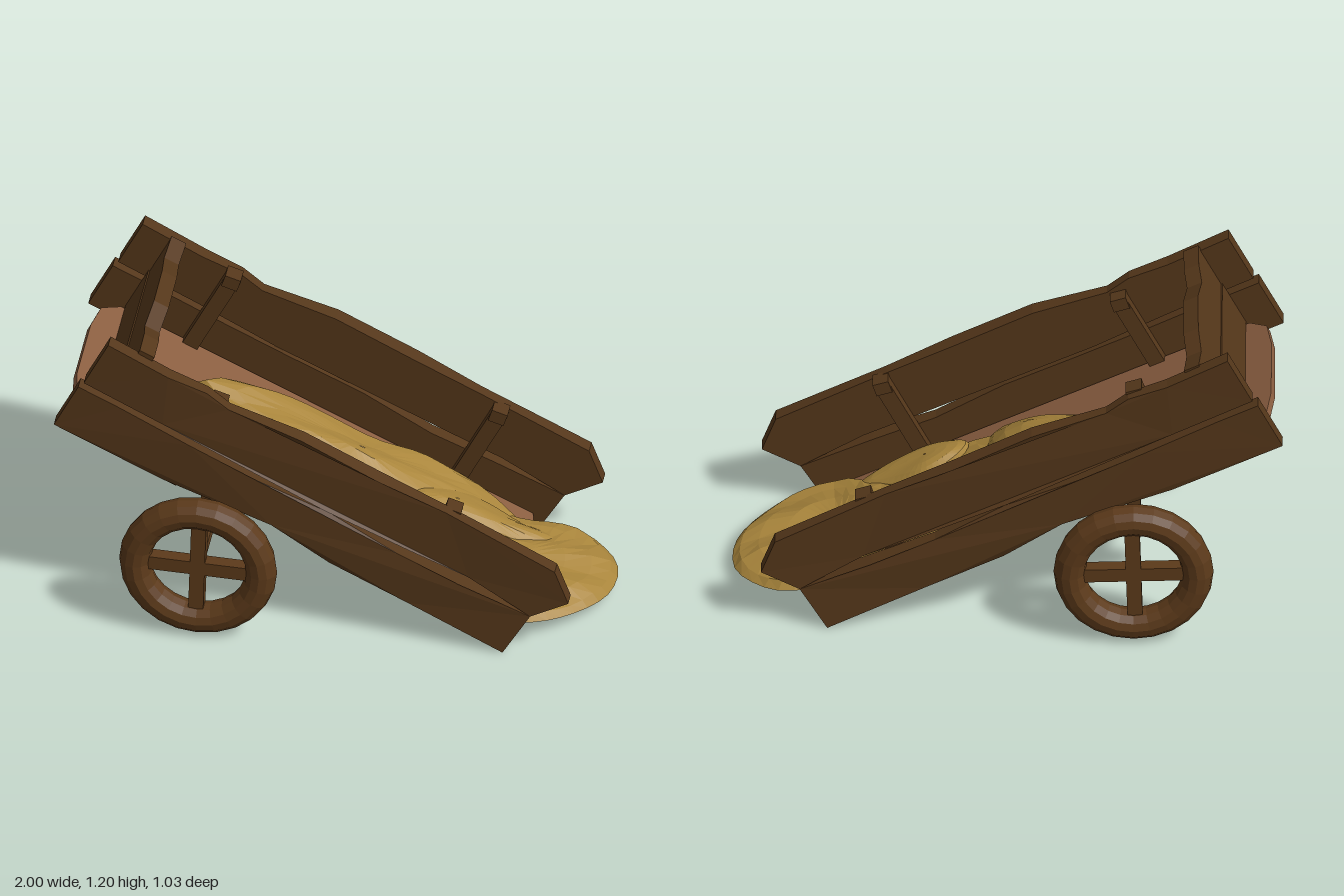
import * as THREE from 'three';

const mat = (color) => new THREE.MeshStandardMaterial({ color, flatShading: true, side: THREE.DoubleSide });
const wood = mat(0x55371a);
const wheelWood = mat(0x5c3a1a);
const boards = mat(0x8a5e40);
const cloth = mat(0xaa863c);

const TILT = -Math.atan(0.5);   // slope of the tipped bed
const BED_Y = 0.395;            // height of the floor boards at x = 0

function add(parent, name, geometry, material, x = 0, y = 0, z = 0) {
  const mesh = new THREE.Mesh(geometry, material);
  mesh.name = name;
  mesh.position.set(x, y, z);
  parent.add(mesh);
  return mesh;
}

function slab(points, depth) {
  const shape = new THREE.Shape(points.map(([x, y]) => new THREE.Vector2(x, y)));
  return new THREE.ExtrudeGeometry(shape, { depth, bevelEnabled: false });
}

// Rough side plank; its outer face is slightly warped
function sidePlank(points, phase) {
  const g = slab(points, 0.055);
  const p = g.attributes.position;
  for (let i = 0; i < p.count; i++) {
    const x = p.getX(i);
    const warp = Math.abs(x) < 0.7 ? 0.013 * Math.sin(x * 7 + phase) : 0;
    if (p.getZ(i) > 0.01) p.setZ(i, p.getZ(i) + warp);
  }
  g.computeVertexNormals();
  return g;
}

// Height the cloth rests on: the bed, then nearly flat past its low end
const rest = (x) => (x < 0.62 ? BED_Y - 0.5 * x : 0.085 - 0.12 * (x - 0.62));

// Closed cloth mass over an outline of [x, z] points, with pleats running down the slope
function clothMass(outline, centre, up, down, pleat, phase) {
  const curve = new THREE.CatmullRomCurve3(outline.map(([x, z]) => new THREE.Vector3(x, 0, z)), true, 'centripetal');
  const n = 36;
  const rim = curve.getSpacedPoints(n).slice(0, n);
  const rings = [[0.02, 1], [0.25, 1], [0.5, 1], [0.75, 1], [0.93, 1], [1, 1], [0.85, -1], [0.5, -1], [0.02, -1]];
  const pos = [], index = [];
  for (const [t, side] of rings) {
    for (const p of rim) {
      const x = centre[0] + (p.x - centre[0]) * t;
      const z = centre[1] + (p.z - centre[1]) * t;
      const dome = Math.sqrt(Math.max(0, 1 - t * t));
      const fold = pleat * Math.sin(z * 34 + x * 5 + phase) * Math.min(1, dome * 1.5);
      pos.push(x, rest(x) + 0.008 + (side > 0 ? up : -down) * dome + fold, z);
    }
  }
  for (let r = 0; r < rings.length - 1; r++) {
    for (let i = 0; i < n; i++) {
      const a = r * n + i, b = r * n + (i + 1) % n;
      index.push(a, a + n, b, b, a + n, b + n);
    }
  }
  const g = new THREE.BufferGeometry();
  g.setAttribute('position', new THREE.Float32BufferAttribute(pos, 3));
  g.setIndex(index);
  g.computeVertexNormals();
  return g;
}

function wheel() {
  const g = new THREE.Group();
  g.name = 'wheel';
  add(g, 'rim', new THREE.TorusGeometry(0.232, 0.058, 12, 24), wheelWood);
  for (const turn of [0, Math.PI / 2]) {
    add(g, 'spokes', new THREE.BoxGeometry(0.4, 0.055, 0.05), wheelWood).rotation.z = turn - 0.03;
  }
  return g;
}

export function createModel() {
  const cart = new THREE.Group();
  cart.name = 'tippedCart';

  // Side planks
  const lower = [[-1, 0.82], [-0.6, 0.62], [-0.2, 0.47], [0.01, 0.315], [0.3, 0.175], [0.65, 0.003], [0.75, 0.17],
    [0.49, 0.29], [0.26, 0.39], [0.01, 0.54], [-0.26, 0.67], [-0.5, 0.79], [-0.76, 0.925], [-0.91, 1]];
  const upper = [[-0.89, 1.02], [-0.6, 0.87], [-0.31, 0.71], [0, 0.56], [0.33, 0.4], [0.52, 0.31], [0.75, 0.17],
    [0.89, 0.245], [0.84, 0.38], [0.44, 0.59], [0.2, 0.71], [-0.09, 0.86], [-0.36, 0.955], [-0.44, 1.02],
    [-0.58, 1.08], [-0.8, 1.2]];
  for (const s of [1, -1]) {
    const side = new THREE.Group();
    side.name = s > 0 ? 'frontSide' : 'backSide';
    add(side, 'lowerPlank', sidePlank(lower, 4), wood, 0, 0, 0.348);
    add(side, 'upperPlank', sidePlank(upper, 1), wood, 0, 0, 0.348);
    side.scale.z = s;
    cart.add(side);
  }

  // Bed, tilted as one piece
  const bed = new THREE.Group();
  bed.name = 'bed';
  bed.position.y = BED_Y;
  bed.rotation.z = TILT;
  cart.add(bed);

  const floor = slab([[-1.07, -0.15], [-1.05, -0.27], [-0.98, -0.33], [0.71, -0.345], [0.745, -0.2], [0.76, 0],
    [0.745, 0.2], [0.71, 0.345], [-0.98, 0.33], [-1.05, 0.27], [-1.07, 0.15]], 0.03);
  floor.rotateX(Math.PI / 2);
  add(bed, 'floor', floor, boards);

  // Headboard of two worn planks
  const lowHead = [[-0.35, 0], [0.35, 0], [0.35, 0.19], [-0.35, 0.19]];
  const highHead = [[-0.35, 0.18], [-0.25, 0.14], [-0.15, 0.17], [0.15, 0.18], [0.25, 0.14], [0.35, 0.18],
    [0.36, 0.365], [0.25, 0.345], [0.14, 0.37], [-0.05, 0.375], [-0.17, 0.345], [-0.25, 0.37], [-0.36, 0.375]];
  for (const [name, pts, u] of [['lowerHeadboard', lowHead, -0.965], ['upperHeadboard', highHead, -0.96]]) {
    add(bed, name, slab(pts, 0.06).rotateY(Math.PI / 2), wood, u);
  }

  // Battens joining the side planks: x and y of the top, side, length
  for (const [x, y, s, len] of [[-0.38, 0.965, 1, 0.42], [0.48, 0.585, 1, 0.42], [-0.44, 1.04, -1, 0.38], [0.54, 0.555, -1, 0.38]]) {
    const batten = new THREE.Group();
    batten.name = 'batten';
    batten.position.set(x - 0.02, y - 0.015, s * 0.328);
    batten.rotation.z = TILT;
    add(batten, 'strip', new THREE.BoxGeometry(0.06, len, 0.045), wood, 0, -len / 2, 0);
    add(batten, 'head', new THREE.BoxGeometry(0.06, 0.05, 0.065), wood, 0, -0.015, 0).rotation.z = 0.15;
    cart.add(batten);
  }

  // Wheels, axle and its supports
  for (const s of [1, -1]) {
    const w = wheel();
    w.position.set(-0.46, 0.295, s * 0.458);
    cart.add(w);
    add(cart, 'axlePost', new THREE.BoxGeometry(0.05, 0.32, 0.05), wood, -0.46, 0.45, s * 0.22);
  }
  add(cart, 'axle', new THREE.CylinderGeometry(0.02, 0.02, 0.94, 8).rotateX(Math.PI / 2), wood, -0.46, 0.295, 0);
  add(cart, 'crossBeam', new THREE.BoxGeometry(0.08, 0.05, 0.66), wood, -0.48, 0.58, 0).rotation.z = TILT;

  // Crumpled cloth lying in the bed and spilling off its low end
  const masses = [
    ['clothBody', [[-0.57, -0.11], [-0.48, -0.18], [-0.32, -0.23], [0.09, -0.25], [0.33, -0.31], [0.51, -0.29],
      [0.63, -0.23], [0.4, -0.1], [0.27, 0.07], [0.14, 0.07], [-0.2, 0.03], [-0.5, -0.06]], [0.05, -0.09], 0.11, 0.05, 0.014, 3],
    ['clothFlap', [[-0.52, -0.1], [-0.25, -0.12], [-0.05, -0.02], [0.07, 0.2], [0.05, 0.27], [-0.1, 0.23], [-0.32, 0.11]],
      [-0.17, 0.06], 0.075, 0.03, 0.008, 2],
    ['clothSpill', [[0.25, 0], [0.3, -0.13], [0.51, -0.23], [0.81, -0.28], [0.94, -0.19], [0.99, -0.1], [0.98, 0.06],
      [0.89, 0.2], [0.75, 0.31], [0.59, 0.34], [0.4, 0.17]], [0.62, 0.02], 0.065, 0.02, 0.01, 0],
    ['clothFold', [[0.2, 0.04], [0.18, -0.1], [0.35, -0.2], [0.6, -0.22], [0.8, -0.16], [0.7, -0.07], [0.45, 0]],
      [0.4, -0.09], 0.1, 0.02, 0.008, 1],
    ['clothCorner', [[0.14, 0.27], [0.17, 0.2], [0.3, 0.14], [0.43, 0.18], [0.56, 0.25], [0.51, 0.29], [0.25, 0.32]],
      [0.3, 0.24], 0.06, 0.04, 0.008, 1],
    ['clothUnderside', [[-0.2, -0.1], [-0.08, -0.26], [0.2, -0.3], [0.5, -0.25], [0.5, 0.1], [0.3, 0.27], [0.03, 0.25],
      [-0.15, 0.1]], [0.02, -0.02], -0.02, 0.165, 0.015, 0],
  ];
  for (const [name, ...args] of masses) add(cart, name, clothMass(...args), cloth);

  return cart;
}
